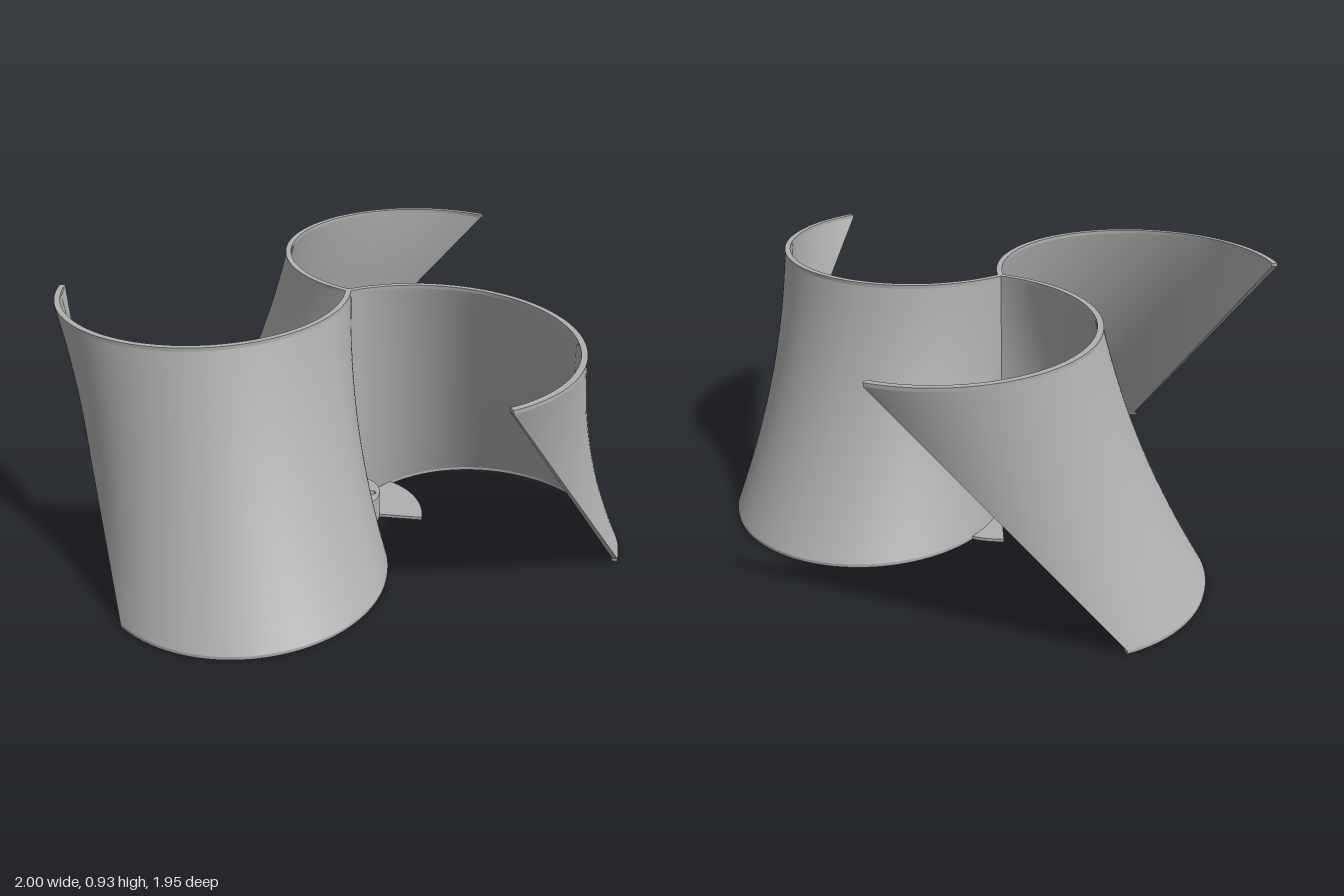
import * as THREE from 'three';
import { mergeGeometries } from 'three/addons/utils/BufferGeometryUtils.js';

const H = 0.925, LIP = 0.012;           // total height, straight rim height
const OFF = 0.5035, RO = 0.5135, RI = 0.4935; // semicircle centre offset, outer and inner radius
const TWIST = Math.PI / 4;

// Point on a blade: semicircular section, ruled straight from the base to the turned top
function bladePoint(phi, r, y) {
  const t = THREE.MathUtils.clamp((y - LIP) / (H - 2 * LIP), 0, 1);
  const x = OFF + r * Math.cos(phi), z = -r * Math.sin(phi);
  const c = Math.cos(TWIST), s = Math.sin(TWIST);
  return [
    THREE.MathUtils.lerp(x, x * c - z * s, t), y,
    THREE.MathUtils.lerp(z, x * s + z * c, t),
  ];
}

// Grid surface from f(u, v) => [phi, r, y]
function patch(nu, nv, f) {
  const pos = [], idx = [];
  for (let j = 0; j <= nv; j++)
    for (let i = 0; i <= nu; i++) pos.push(...bladePoint(...f(i / nu, j / nv)));
  for (let j = 0; j < nv; j++)
    for (let i = 0; i < nu; i++) {
      const a = j * (nu + 1) + i, b = a + 1, c = a + nu + 1, d = c + 1;
      idx.push(a, b, d, a, d, c);
    }
  const g = new THREE.BufferGeometry();
  g.setAttribute('position', new THREE.Float32BufferAttribute(pos, 3));
  g.setIndex(idx);
  g.computeVertexNormals();
  return g;
}

function bladeGeometry() {
  const N = 72, PI = Math.PI, parts = [];
  const levels = [[0, LIP, 1], [LIP, H - LIP, 16], [H - LIP, H, 1]];
  for (const [y0, y1, rows] of levels) {
    const y = v => y0 + (y1 - y0) * v;
    parts.push(
      patch(N, rows, (u, v) => [PI * u, RO, y(v)]),                    // convex wall
      patch(N, rows, (u, v) => [PI * (1 - u), RI, y(v)]),              // concave wall
      patch(1, rows, (u, v) => [0, RI + (RO - RI) * u, y(v)]),         // tip edge
      patch(1, rows, (u, v) => [PI, RO + (RI - RO) * u, y(v)]),        // root edge
    );
  }
  parts.push(
    patch(N, 1, (u, v) => [PI * u, RO + (RI - RO) * v, H]),            // top rim
    patch(N, 1, (u, v) => [PI * u, RI + (RO - RI) * v, 0]),            // bottom rim
  );
  return mergeGeometries(parts);
}

// Upright plate extruded from a plan outline
function plate(shape, depth) {
  const g = new THREE.ExtrudeGeometry(shape, { depth, bevelEnabled: false, curveSegments: 32 });
  return g.rotateX(-Math.PI / 2);
}

export function createModel() {
  const gray = new THREE.MeshStandardMaterial({ color: 0xb0b0b0 });
  gray.name = 'gray';
  const model = new THREE.Group();
  model.name = 'rotor';
  const add = (geometry, name) => {
    const mesh = new THREE.Mesh(geometry, gray);
    mesh.name = name;
    model.add(mesh);
    return mesh;
  };

  // Three twisted scoop blades
  const blade = bladeGeometry();
  for (let i = 0; i < 3; i++) add(blade, 'blade').rotation.y = -i * Math.PI * 2 / 3;

  // Hub with four screw holes
  const rad = THREE.MathUtils.degToRad;
  const disc = new THREE.Shape().absarc(0, 0, 0.117, 0, Math.PI * 2, false);
  for (let i = 0; i < 4; i++) {
    const a = rad(13 + i * 90);
    disc.holes.push(new THREE.Path().absarc(0.09 * Math.cos(a), 0.09 * Math.sin(a), 0.012, 0, Math.PI * 2, true));
  }
  add(plate(disc, 0.105), 'hub');

  // Two opposite quarter fins under the hub
  for (const start of [10, 190]) {
    const fin = new THREE.Shape();
    const a0 = rad(start), a1 = rad(start + 90);
    fin.absarc(0, 0, 0.28, a0, a1, false);
    fin.absarc(0, 0, 0.11, a1, a0, true);
    fin.closePath();
    add(plate(fin, 0.012), 'baseFin');
  }

  model.position.set(-0.017, 0, 0.025);
  const root = new THREE.Group();
  root.name = 'turbine';
  root.add(model);
  return root;
}
